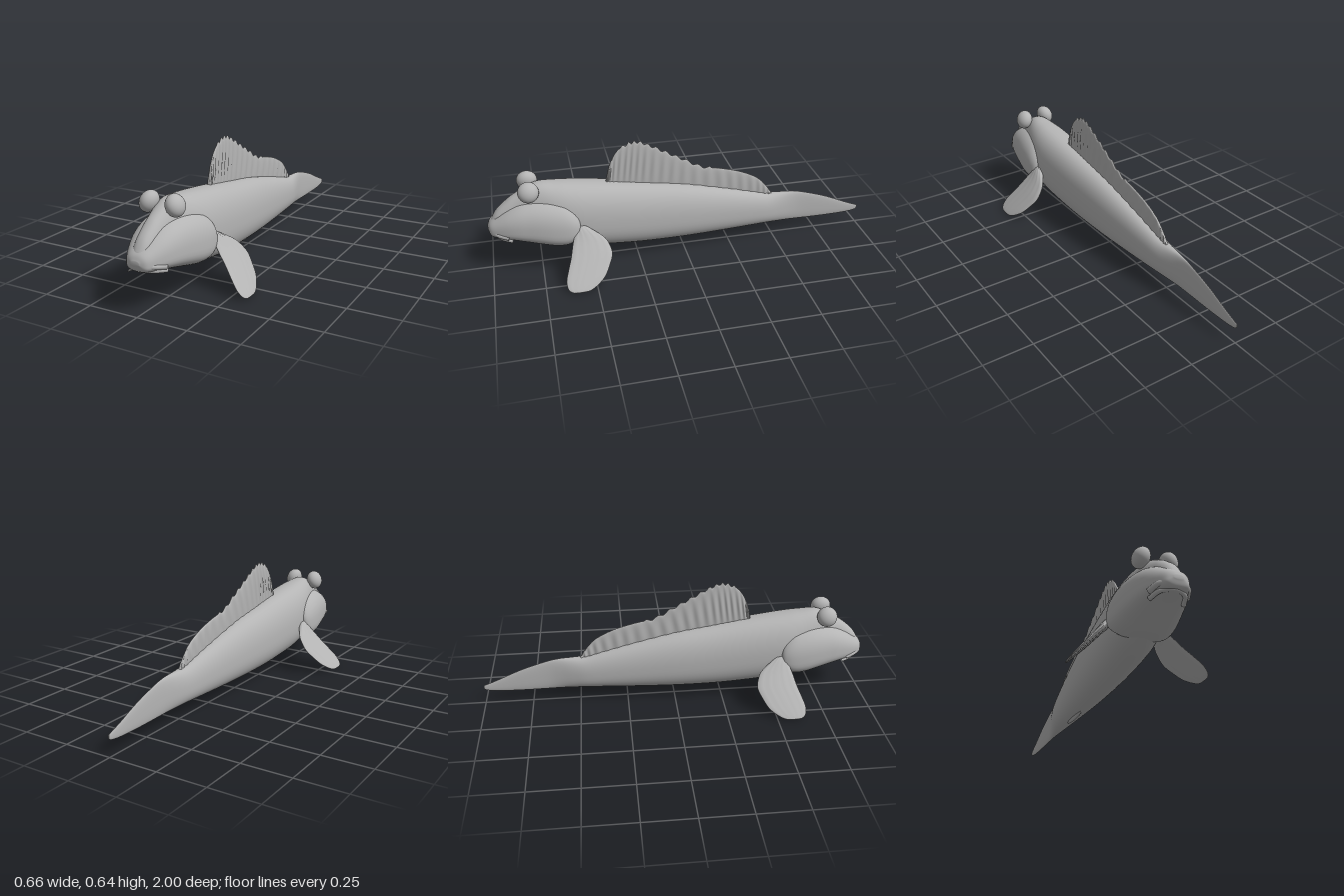
import * as THREE from 'three';

const skin = new THREE.MeshStandardMaterial({ color: 0xb4b4b4 });
skin.name = 'grey skin';

// Skin a list of closed rings, with a fan cap at each end.
function loft(name, rings, flip = false) {
  const n = rings[0].length, pos = [], idx = [];
  const tri = (a, b, c) => (flip ? idx.push(a, c, b) : idx.push(a, b, c));
  rings.forEach(r => r.forEach(p => pos.push(p.x, p.y, p.z)));
  for (let i = 0; i < rings.length - 1; i++) {
    for (let j = 0; j < n; j++) {
      const a = i * n + j, b = i * n + (j + 1) % n;
      tri(a, a + n, b);
      tri(b, a + n, b + n);
    }
  }
  [0, rings.length - 1].forEach((i, end) => {
    const c = new THREE.Vector3();
    rings[i].forEach(p => c.addScaledVector(p, 1 / n));
    const ci = pos.length / 3;
    pos.push(c.x, c.y, c.z);
    for (let j = 0; j < n; j++) {
      const a = i * n + j, b = i * n + (j + 1) % n;
      if (end) tri(ci, b, a); else tri(ci, a, b);
    }
  });
  const g = new THREE.BufferGeometry();
  g.setAttribute('position', new THREE.Float32BufferAttribute(pos, 3));
  g.setIndex(idx);
  g.computeVertexNormals();
  const m = new THREE.Mesh(g, skin);
  m.name = name;
  return m;
}

// Smoothly resample rows of up to four numbers.
function smooth(rows, steps) {
  const a = new THREE.CatmullRomCurve3(rows.map(r => new THREE.Vector3(r[0], r[1], r[2])), false, 'catmullrom', 0.5);
  const b = new THREE.CatmullRomCurve3(rows.map(r => new THREE.Vector3(r[3] || 0, 0, 0)), false, 'catmullrom', 0.5);
  return Array.from({ length: steps + 1 }, (_, i) => {
    const p = a.getPoint(i / steps);
    return [p.x, p.y, p.z, b.getPoint(i / steps).x];
  });
}

const spow = (v, e) => Math.sign(v) * Math.abs(v) ** e;
const ring = (n, f) => Array.from({ length: n }, (_, j) => f((j / n) * Math.PI * 2));

// Rounded sections from rows of [z, bottom, top, halfWidth]; widest is a height fraction.
function hull(name, rows, widest, e) {
  return loft(name, smooth(rows, 90).map(([z, lo, hi, w]) => {
    const mid = lo + (hi - lo) * widest;
    return ring(48, a => {
      const s = spow(Math.sin(a), e);
      return new THREE.Vector3(w * spow(Math.cos(a), e), mid + s * (s > 0 ? hi - mid : mid - lo), z);
    });
  }));
}

function dorsalFin() {
  // base z, top z, top y
  const rows = [
    [.40, .40, .42], [.39, .375, .52], [.36, .335, .59], [.31, .28, .625], [.26, .23, .63],
    [.2, .17, .605], [.12, .09, .56], [.03, 0, .51], [-.08, -.1, .455], [-.2, -.21, .43],
    [-.3, -.31, .40], [-.39, -.4, .355], [-.45, -.455, .30], [-.485, -.49, .25]
  ];
  const steps = 170;
  return loft('dorsalFin', smooth(rows, steps).map(([zb, zt, yt], i) => {
    const u = i / steps;
    const ray = Math.sin(u * Math.PI * 44);
    const jag = u > .18 && u < .65 ? .007 * ray : 0;
    const yb = .324 + .19 * zb;
    return ring(28, a => {
      const v = (Math.sin(a) + 1) / 2;
      const x = .008 * spow(Math.cos(a), .5) + .003 * ray * Math.sin(v * Math.PI);
      return new THREE.Vector3(x, yb + (yt + jag - yb) * v, zb + (zt - zb) * v);
    });
  }));
}

function pectoralFin(name, side) {
  // y, rear z, front z, half thickness
  const rows = [
    [.25, .52, .57, .016], [.23, .485, .58, .018], [.205, .445, .59, .016], [.18, .422, .60, .014],
    [.135, .408, .615, .012], [.09, .43, .635, .010], [.05, .46, .65, .008], [.02, .505, .645, .006],
    [.006, .54, .625, .004], [.003, .57, .60, .002]
  ];
  return loft(name, smooth(rows, 44).map(([y, z0, z1, t]) => ring(40, a => {
    const c = Math.cos(a);
    const rib = 1 + .1 * Math.cos(c * 16);
    const n = t * rib * Math.sin(a);
    const x = .135 + (.225 - y) * .865 + n * .75;
    return new THREE.Vector3(side * x, y + n * .66, (z0 + z1) / 2 + c * (z1 - z0) / 2);
  })), side < 0);
}

function ellipsoid(name, x, y, z, sx, sy, sz) {
  const g = new THREE.SphereGeometry(1, 36, 24);
  g.scale(sx, sy, sz);
  const m = new THREE.Mesh(g, skin);
  m.name = name;
  m.position.set(x, y, z);
  return m;
}

// Bowed lip running round the snout
function lip(name, y, front, half, r) {
  const path = new THREE.CatmullRomCurve3([
    [-half, y - .012, front - .085], [-half * .7, y, front - .028], [0, y + .003, front],
    [half * .7, y, front - .028], [half, y - .012, front - .085]
  ].map(p => new THREE.Vector3(...p)));
  const m = new THREE.Mesh(new THREE.TubeGeometry(path, 40, r, 12), skin);
  m.name = name;
  return m;
}

export function createModel() {
  const fish = new THREE.Group();
  fish.name = 'fish';

  // Snout ridge, trunk and flat tail in one skin
  fish.add(hull('body', [
    [.985, .225, .28, .025], [.95, .21, .335, .042], [.9, .2, .38, .052], [.85, .19, .415, .058],
    [.75, .17, .464, .08], [.65, .135, .461, .108], [.57, .108, .453, .12], [.48, .09, .442, .122],
    [.35, .077, .424, .118], [.2, .068, .40, .111], [0, .065, .368, .099], [-.2, .068, .322, .081],
    [-.36, .072, .28, .064], [-.46, .074, .253, .051], [-.53, .072, .248, .036], [-.6, .07, .245, .02],
    [-.67, .068, .232, .011], [-.8, .067, .19, .008], [-.92, .07, .138, .006], [-.98, .077, .114, .005],
    [-1, .086, .107, .003]
  ], .42, .86));

  // Broad jaw and gill covers
  fish.add(hull('headAndGillCovers', [
    [1, .238, .256, .02], [.985, .207, .283, .052], [.95, .196, .312, .076], [.9, .188, .347, .1],
    [.85, .177, .373, .117], [.8, .165, .389, .129], [.74, .15, .398, .142], [.68, .136, .398, .151],
    [.62, .134, .387, .154], [.58, .155, .362, .149], [.555, .185, .33, .136], [.545, .22, .295, .11]
  ], .36, .78));
  fish.add(lip('upperLip', .228, .982, .088, .014));
  fish.add(lip('lowerLip', .203, .966, .08, .011));

  // Eyes, pectoral fins
  for (const [label, s] of [['left', 1], ['right', -1]]) {
    const eye = ellipsoid(label + 'Eye', s * .067, .449, .786, .041, .052, .052);
    eye.rotation.z = s * .35;
    fish.add(eye);
    fish.add(pectoralFin(label + 'PectoralFin', s));
  }

  fish.add(dorsalFin());
  fish.add(ellipsoid('analFin', 0, .073, -.23, .012, .016, .11));
  return fish;
}
